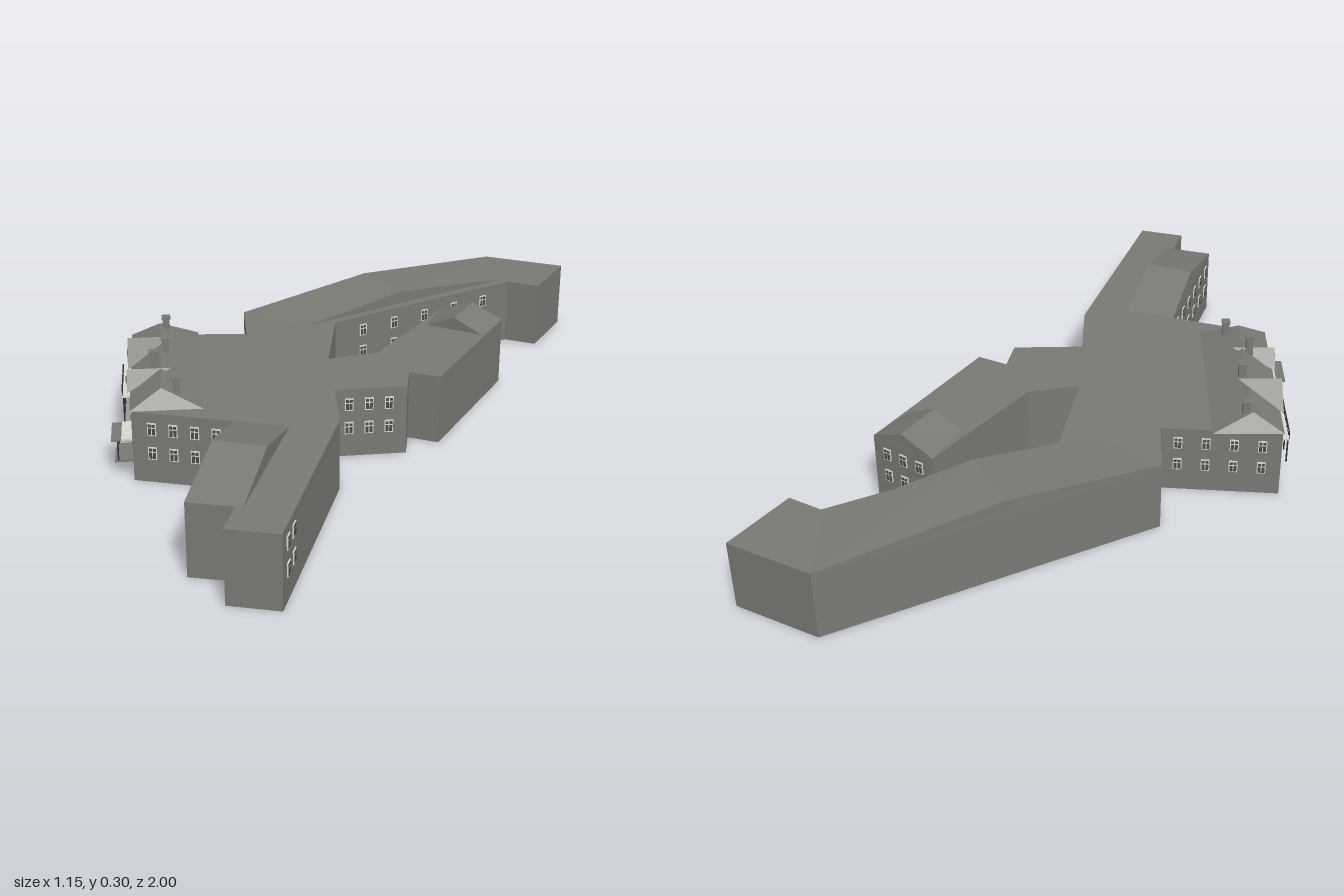
import * as THREE from 'three';

const mat = (name, color, double = false) => {
  const m = new THREE.MeshStandardMaterial({ color });
  m.name = name;
  m.flatShading = true;
  if (double) m.side = THREE.DoubleSide;
  return m;
};

const H = 0.2; // wall height

// Outline of the building, [x, z], with the outside on the +z side when walking +x
const OUTLINE = [
  [-0.57, -0.035], [-0.38, 0.47], [-0.10, 0.455], [-0.08, 0.90], [0.04, 0.89], [0.045, 0.995],
  [0.18, 0.985], [0.16, 0.38], [0.10, 0.20], [0.285, 0.125], [0.27, 0.03], [0.36, 0.04],
  [0.46, -0.43], [0.265, -0.475], [0.155, -0.085], [0.03, -0.005], [-0.02, -0.285], [0.43, -0.77],
  [0.53, -0.755], [0.58, -0.97], [0.33, -1.0], [-0.31, -0.29], [-0.25, -0.125],
];

export function createModel() {
  const root = new THREE.Group();
  root.name = 'building';
  const stone = mat('grey stone', 0x7a7a75, true);
  const light = mat('pale trim', 0xd8dad0);
  const pane = mat('window pane', 0x4a4c4a);
  const dark = mat('dark iron', 0x30302e);
  const glass = mat('blue glass', 0x3c4a50);

  const add = (parent, name, geo, material) => {
    const m = new THREE.Mesh(geo, material);
    m.name = name;
    parent.add(m);
    return m;
  };
  const box = (parent, name, w, h, d, x, y, z, material) => {
    const m = add(parent, name, new THREE.BoxGeometry(w, h, d), material);
    m.position.set(x, y, z);
    return m;
  };
  // Surface from flat polygons of three or four corners
  const faces = (parent, name, polys, material = stone) => {
    const pos = [];
    for (const p of polys) {
      for (let i = 1; i < p.length - 1; i++) pos.push(...p[0], ...p[i], ...p[i + 1]);
    }
    const g = new THREE.BufferGeometry();
    g.setAttribute('position', new THREE.Float32BufferAttribute(pos, 3));
    g.computeVertexNormals();
    return add(parent, name, g, material);
  };

  // Outer walls and flat roof
  const n = OUTLINE.length;
  faces(root, 'walls', OUTLINE.map(([x, z], i) => {
    const [u, v] = OUTLINE[(i + 1) % n];
    return [[x, 0, z], [u, 0, v], [u, H, v], [x, H, z]];
  }));
  const flat = new THREE.ShapeGeometry(new THREE.Shape(OUTLINE.map(([x, z]) => new THREE.Vector2(x, -z))));
  flat.rotateX(-Math.PI / 2).translate(0, H, 0);
  add(root, 'flatRoof', flat, stone);

  // Raised roof: two edges a and b of three points each, highest in the middle
  const raisedRoof = (name, a, b, peak) => {
    const ys = [H + 0.001, peak, H + 0.001];
    const A = a.map(([x, z], i) => [x, ys[i], z]);
    const B = b.map(([x, z], i) => [x, ys[i], z]);
    faces(root, name, [
      [A[0], B[0], B[1], A[1]], [A[1], B[1], B[2], A[2]],
      [A[0], A[1], A[2]], [B[2], B[1], B[0]],
    ]);
  };
  raisedRoof('frontWingRoof', [[-0.10, 0.455], [-0.088, 0.67], [-0.08, 0.90]],
    [[0.045, 0.45], [0.052, 0.67], [0.06, 0.89]], 0.25);
  raisedRoof('longWingRoof', [[0.33, -1.0], [-0.01, -0.623], [-0.31, -0.29]],
    [[0.415, -0.795], [0.14, -0.49], [-0.095, -0.23]], 0.24);
  raisedRoof('shortWingRoof', [[0.248, -0.33], [0.335, -0.31], [0.42, -0.293]],
    [[0.265, -0.475], [0.365, -0.452], [0.46, -0.43]], 0.24);

  // Local frame along wall i: x runs along it, z points outward
  const wallFrame = (name, i) => {
    const [x, z] = OUTLINE[i];
    const [u, v] = OUTLINE[(i + 1) % n];
    const g = new THREE.Group();
    g.name = name;
    g.position.set(x, 0, z);
    g.rotation.y = Math.atan2(z - v, u - x);
    g.userData.length = Math.hypot(u - x, v - z);
    root.add(g);
    return g;
  };
  // Framed window with two columns of panes under a transom
  const windowAt = (g, x, y, w = 0.024, h = 0.036) => {
    box(g, 'windowFrame', w, h, 0.006, x, y, 0, light);
    for (const s of [-1, 1]) {
      box(g, 'windowPane', w * 0.34, h * 0.5, 0.0075, x + s * w * 0.22, y - h * 0.17, 0, pane);
      box(g, 'windowPane', w * 0.34, h * 0.22, 0.0075, x + s * w * 0.22, y + h * 0.29, 0, pane);
    }
  };
  // Two rows of windows: wall index, first and last position along it, number of columns
  const rows = [
    [1, 0.055, 0.23, 4], [2, 0.05, 0.40, 6], [5, 0.04, 0.095, 0], [6, 0.05, 0.105, 2],
    [8, 0.04, 0.15, 3], [12, 0.045, 0.155, 3], [16, 0.10, 0.56, 5], [22, 0.05, 0.28, 4],
  ];
  for (const [i, from, to, count] of rows) {
    if (!count) continue;
    const g = wallFrame('windows', i);
    for (let k = 0; k < count; k++) {
      const x = from + ((to - from) * k) / (count - 1);
      for (const y of [0.085, 0.155]) windowAt(g, x, y);
    }
  }

  // Entrance block on the slanted facade
  const f = wallFrame('entranceBlock', 0);
  const L = f.userData.length, W = 0.19, R = 0.247;
  const e = [[0, H, 0.004], [L, H, 0.004], [L, H, -W], [0, H, -W]];
  const r0 = [0.035, R, -0.08], r1 = [L - 0.04, R, -0.08];
  faces(f, 'hippedRoof', [
    [e[0], e[1], r1, r0], [e[2], e[3], r0, r1], [e[1], e[2], r1], [e[3], e[0], r0],
  ]);
  // Gables: centre, half width, peak height
  for (const [c, w, y] of [[0.18, 0.08, 0.262], [0.37, 0.05, 0.248]]) {
    const a = [c - w, H, 0.012], b = [c + w, H, 0.012], t = [c, y, 0.012], k = [c, y, -0.11];
    faces(f, 'gable', [[a, b, t], [a, t, k], [b, k, t]]);
    box(f, 'gableTrim', w * 0.25, 0.016, 0.006, c, H + 0.018, 0.012, pane);
  }
  for (const x of [0.04, 0.125, 0.18, 0.235, 0.46]) {
    for (const y of [0.09, 0.165]) windowAt(f, x, y, 0.026, 0.042);
  }
  // Glazed stair window and door
  box(f, 'stairWindow', 0.05, 0.09, 0.008, 0.315, 0.14, 0, glass);
  box(f, 'stairWindowTrim', 0.006, 0.09, 0.0095, 0.315, 0.14, 0, light);
  box(f, 'door', 0.035, 0.08, 0.008, 0.38, 0.10, 0, light);
  box(f, 'doorPanel', 0.024, 0.066, 0.0095, 0.38, 0.098, 0, pane);

  // Balcony with railing and posts
  box(f, 'balconyDeck', 0.185, 0.005, 0.032, 0.178, 0.122, 0.016, light);
  box(f, 'balconyRail', 0.185, 0.003, 0.003, 0.178, 0.143, 0.031, dark);
  for (let k = 0; k <= 10; k++) {
    box(f, 'baluster', 0.002, 0.02, 0.002, 0.087 + k * 0.0182, 0.133, 0.031, dark);
  }
  for (const x of [0.088, 0.148, 0.208, 0.268]) {
    box(f, 'balconyPost', 0.004, 0.075, 0.004, x, 0.084, 0.028, dark);
  }

  // Porch: canopy in two strips, landing and posts
  box(f, 'porchCanopy', 0.11, 0.005, 0.03, 0.465, 0.11, 0.015, light);
  box(f, 'porchCanopyEdge', 0.11, 0.005, 0.027, 0.465, 0.108, 0.0435, stone);
  box(f, 'porchLanding', 0.10, 0.006, 0.045, 0.465, 0.047, 0.0225, stone);
  box(f, 'porchStep', 0.08, 0.005, 0.05, 0.465, 0.04, 0.025, stone);
  for (const x of [0.415, 0.515]) box(f, 'porchPost', 0.004, 0.06, 0.004, x, 0.079, 0.04, dark);

  // Chimneys: x, z, top height
  for (const [x, z, y] of [[-0.46, -0.02, 0.275], [-0.40, 0.15, 0.282], [-0.385, 0.28, 0.296], [-0.287, 0.375, 0.272]]) {
    const c = new THREE.Group();
    c.name = 'chimney';
    c.position.set(x, 0, z);
    c.rotation.y = f.rotation.y;
    root.add(c);
    box(c, 'chimneyStack', 0.02, y - H, 0.02, 0, (y + H) / 2, 0, stone);
    box(c, 'chimneyCap', 0.025, 0.006, 0.025, 0, y - 0.003, 0, stone);
  }
  return root;
}
